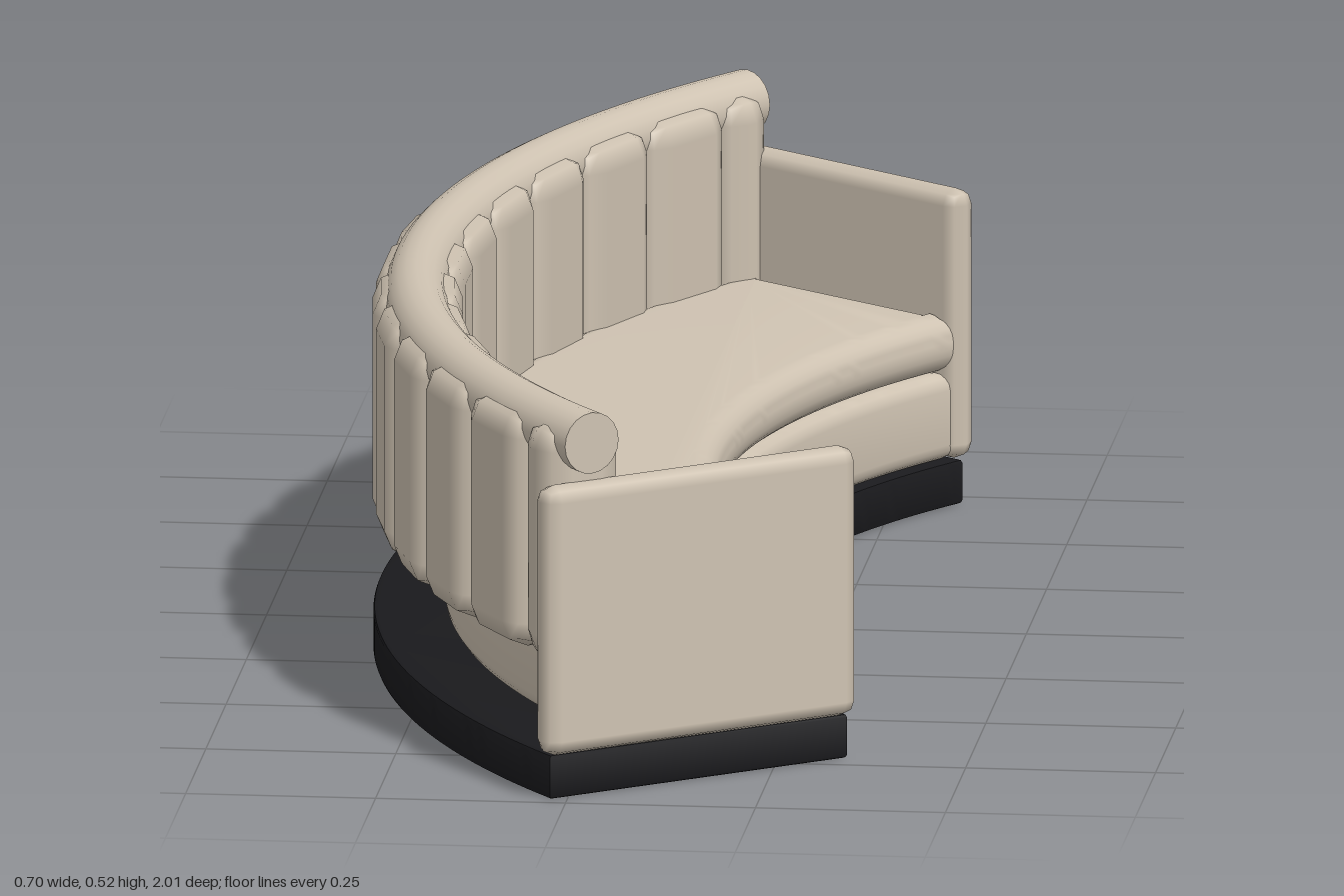
import * as THREE from 'three';
import { toCreasedNormals } from 'three/addons/utils/BufferGeometryUtils.js';
import { RoundedBoxGeometry } from 'three/addons/geometries/RoundedBoxGeometry.js';

const CX = 1.29;                       // the sofa curves around the axis x = CX, z = 0
const HALF = Math.atan2(3, 4);         // half of the arc's angle
const fabric = new THREE.MeshStandardMaterial({ color: 0xcfc3b2 });
const black = new THREE.MeshStandardMaterial({ color: 0x1a1a1d });

function addMesh(parent, name, geometry, material) {
  const mesh = new THREE.Mesh(geometry, material);
  mesh.name = name;
  parent.add(mesh);
  return mesh;
}

// Place an object at an angle along the curve, its x axis pointing to the centre
function placeOnArc(object, angle, radius, y) {
  object.position.set(CX - radius * Math.cos(angle), y, radius * Math.sin(angle));
  object.rotation.y = angle;
}

// Curved slab between two radii and two heights, with rounded edges
function arcSlab(inner, outer, y0, y1, half, bevel, steps) {
  const shape = new THREE.Shape();
  shape.absarc(CX, 0, outer, Math.PI - half, Math.PI + half, false);
  shape.absarc(CX, 0, inner, Math.PI + half, Math.PI - half, true);
  shape.closePath();
  const slab = new THREE.ExtrudeGeometry(shape, {
    depth: y1 - y0 - 2 * bevel, curveSegments: 48,
    bevelThickness: bevel, bevelSize: bevel, bevelOffset: -bevel, bevelSegments: steps,
  });
  slab.rotateX(-Math.PI / 2).translate(0, y0 + bevel, 0);
  return toCreasedNormals(slab, 0.6);
}

export function createModel() {
  const sofa = new THREE.Group();
  sofa.name = 'curvedSofa';

  // Plinth, seat base and seat cushion
  addMesh(sofa, 'plinth', arcSlab(1.1875, 1.64, 0, 0.06, HALF, 0.005, 2), black);
  addMesh(sofa, 'seatBase', arcSlab(1.192, 1.547, 0.06, 0.177, HALF - 0.008, 0.022, 4), fabric);
  addMesh(sofa, 'seatCushion', arcSlab(1.188, 1.56, 0.177, 0.255, HALF - 0.008, 0.034, 6), fabric);

  // Backrest of upright padded channels, with a half channel at each end
  const backrest = new THREE.Group();
  backrest.name = 'backrest';
  sofa.add(backrest);
  const step = HALF / 6;
  const full = new RoundedBoxGeometry(0.118, 0.323, 0.169, 1, 0.037);
  const narrow = new RoundedBoxGeometry(0.118, 0.323, 0.086, 1, 0.037);
  for (let i = -6; i <= 6; i++) {
    const end = Math.abs(i) === 6;
    const channel = addMesh(backrest, end ? 'halfChannel' : 'channel', end ? narrow : full, fabric);
    placeOnArc(channel, end ? Math.sign(i) * (HALF - step / 4) : i * step, 1.582, 0.3385);
  }

  // Roll along the top of the backrest
  const rollRadius = 1.584, rollSize = 0.041, rollY = 0.476, rollHalf = HALF + 0.008;
  const roll = new THREE.TorusGeometry(rollRadius, rollSize, 20, 80, 2 * rollHalf);
  roll.rotateZ(Math.PI - rollHalf).rotateX(-Math.PI / 2).translate(CX, rollY, 0);
  addMesh(sofa, 'topRoll', roll, fabric);

  // Arms and roll ends, mirrored
  for (const side of [-1, 1]) {
    const cap = addMesh(sofa, 'rollEnd', new THREE.CircleGeometry(rollSize, 20), fabric);
    placeOnArc(cap, side * rollHalf, rollRadius, rollY);
    cap.rotation.y = side > 0 ? rollHalf : Math.PI - rollHalf;

    const arm = addMesh(sofa, side > 0 ? 'frontArm' : 'backArm',
      new RoundedBoxGeometry(0.475, 0.363, 0.045, 1, 0.021), fabric);
    placeOnArc(arm, side * HALF, 1.418, 0.2415);
  }
  return sofa;
}
